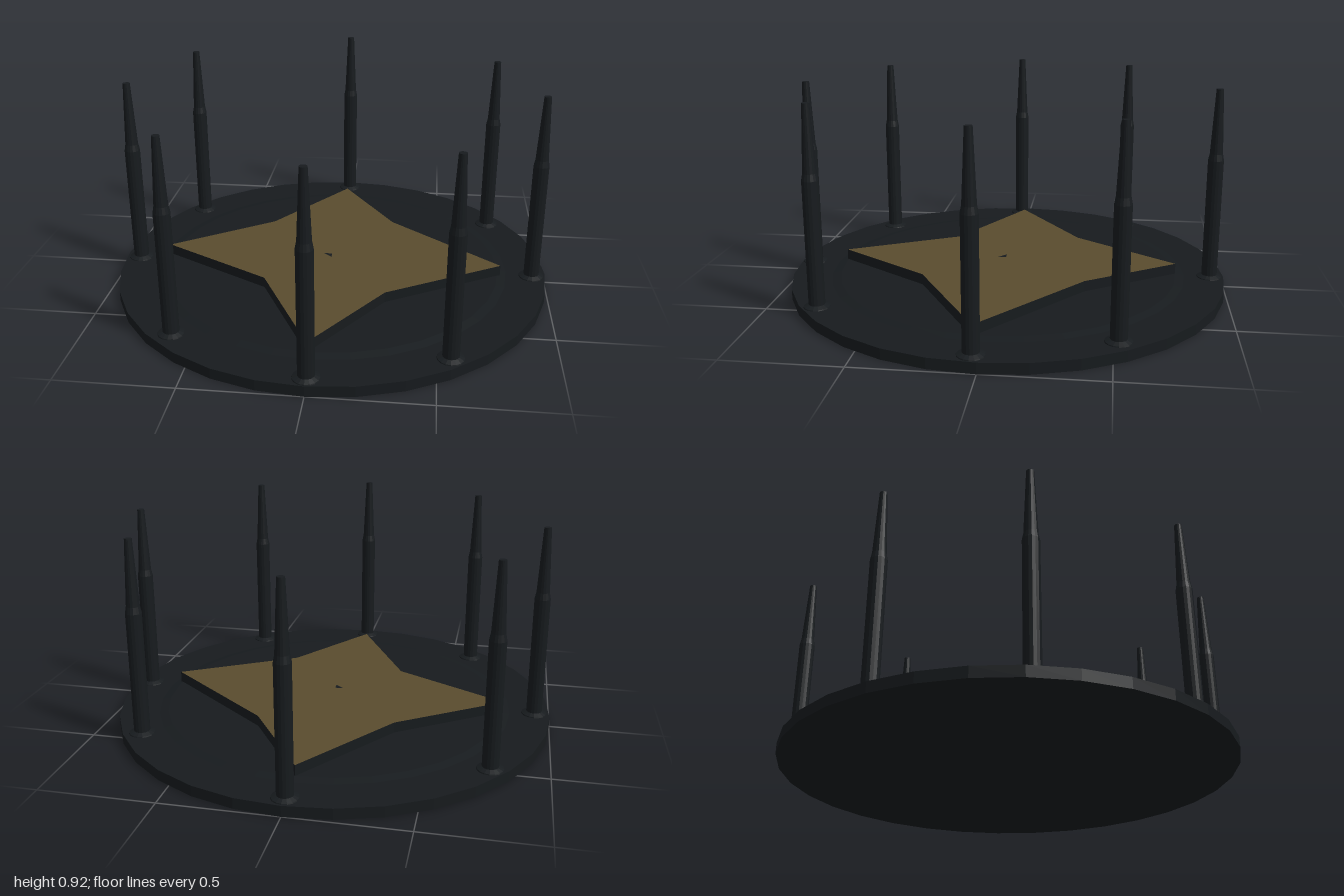
import * as THREE from 'three';

const dark = new THREE.MeshStandardMaterial({ color: 0x171b1e, flatShading: true });
const gold = new THREE.MeshStandardMaterial({ color: 0x5a4c2e, flatShading: true });

// Solid of revolution from [radius, height] pairs, bottom to top
function turned(name, profile, sides) {
  const points = profile.map(([r, y]) => new THREE.Vector2(r, y));
  const mesh = new THREE.Mesh(new THREE.LatheGeometry(points, sides), dark);
  mesh.name = name;
  return mesh;
}

export function createModel() {
  const model = new THREE.Group();
  model.name = 'starPlatform';

  // Round base with a slightly raised centre
  model.add(turned('base', [[0, 0], [1, 0], [1, 0.047], [0.82, 0.047], [0.78, 0.054], [0, 0.054]], 32));

  // Irregular four-pointed star with a small pit; gold top, dark sides
  const outline = [
    [0, -0.78], [0.27, -0.37], [0.79, 0.05], [0.27, 0.355],
    [-0.02, 0.785], [-0.28, 0.28], [-0.79, 0], [-0.33, -0.315],
  ];
  const pit = [[-0.04, 0.01], [0, 0.01], [0, 0.045]];
  const toPoints = (list) => list.map(([x, z]) => new THREE.Vector2(x, -z));
  const shape = new THREE.Shape(toPoints(outline));
  shape.holes.push(new THREE.Path(toPoints(pit)));
  const starGeometry = new THREE.ExtrudeGeometry(shape, { depth: 0.06, bevelEnabled: false });
  starGeometry.rotateX(-Math.PI / 2);
  const star = new THREE.Mesh(starGeometry, [gold, dark]);
  star.name = 'star';
  star.position.y = 0.042;
  model.add(star);

  // Tapered posts around the rim, each with a small foot
  const places = [
    [0, -0.935], [0.755, -0.52], [0.935, 0.03], [0.555, 0.75],
    [0, 0.94], [-0.6, 0.69], [-0.93, 0.03], [-0.755, -0.55],
  ];
  const profile = [
    [0, 0.04], [0.06, 0.04], [0.056, 0.051], [0.035, 0.06], [0.035, 0.6],
    [0.029, 0.63], [0.016, 0.92], [0, 0.92],
  ];
  const posts = new THREE.Group();
  posts.name = 'posts';
  for (const [x, z] of places) {
    const post = turned('post', profile, 16);
    post.position.set(x, 0, z);
    posts.add(post);
  }
  model.add(posts);
  return model;
}
